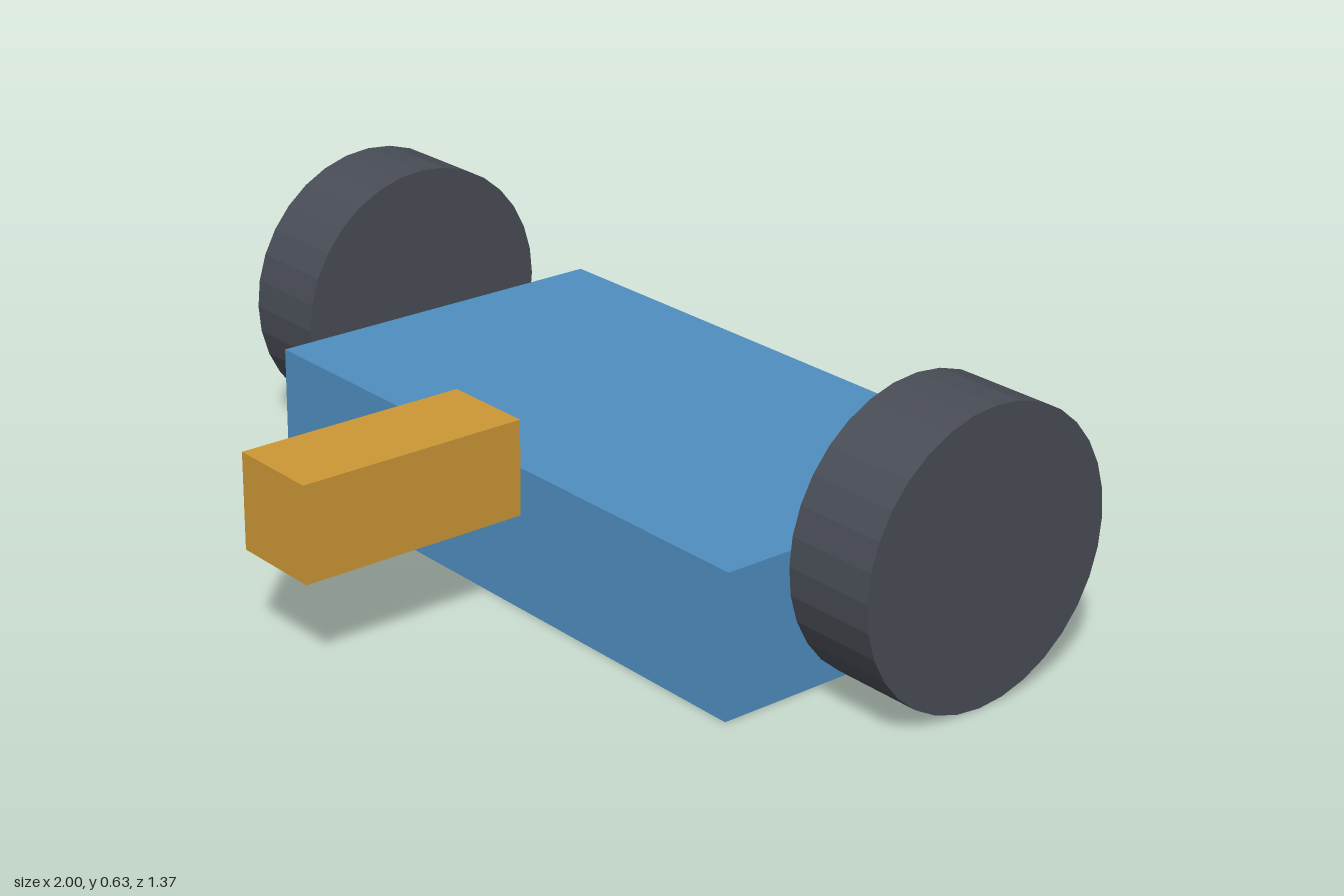
import * as THREE from 'three';

const U = 1 / 19; // modelling unit

export function createModel() {
  const group = new THREE.Group();
  const material = (name, color) => {
    const m = new THREE.MeshStandardMaterial({ color, flatShading: true });
    m.name = name;
    return m;
  };
  const blue = material('blue body', 0x4f8dbf);
  const gold = material('ochre', 0xcc9735);
  const dark = material('dark rubber', 0x484c55);

  const add = (name, geometry, mat, x, y, z) => {
    const mesh = new THREE.Mesh(geometry, mat);
    mesh.name = name;
    mesh.position.set(x * U, y * U, z * U);
    group.add(mesh);
  };

  // Wide flat body and the bar projecting from its front
  add('body', new THREE.BoxGeometry(28 * U, 6 * U, 16 * U), blue, 0, 3, -5);
  add('frontBar', new THREE.BoxGeometry(4 * U, 4 * U, 10 * U), gold, 0, 6, 8);

  // A wheel on each side, standing clear of the body
  const wheel = new THREE.CylinderGeometry(6 * U, 6 * U, 4 * U, 32).rotateZ(Math.PI / 2);
  for (const side of [-1, 1]) {
    add(side > 0 ? 'leftWheel' : 'rightWheel', wheel, dark, side * 17, 6, -5);
  }
  return group;
}
